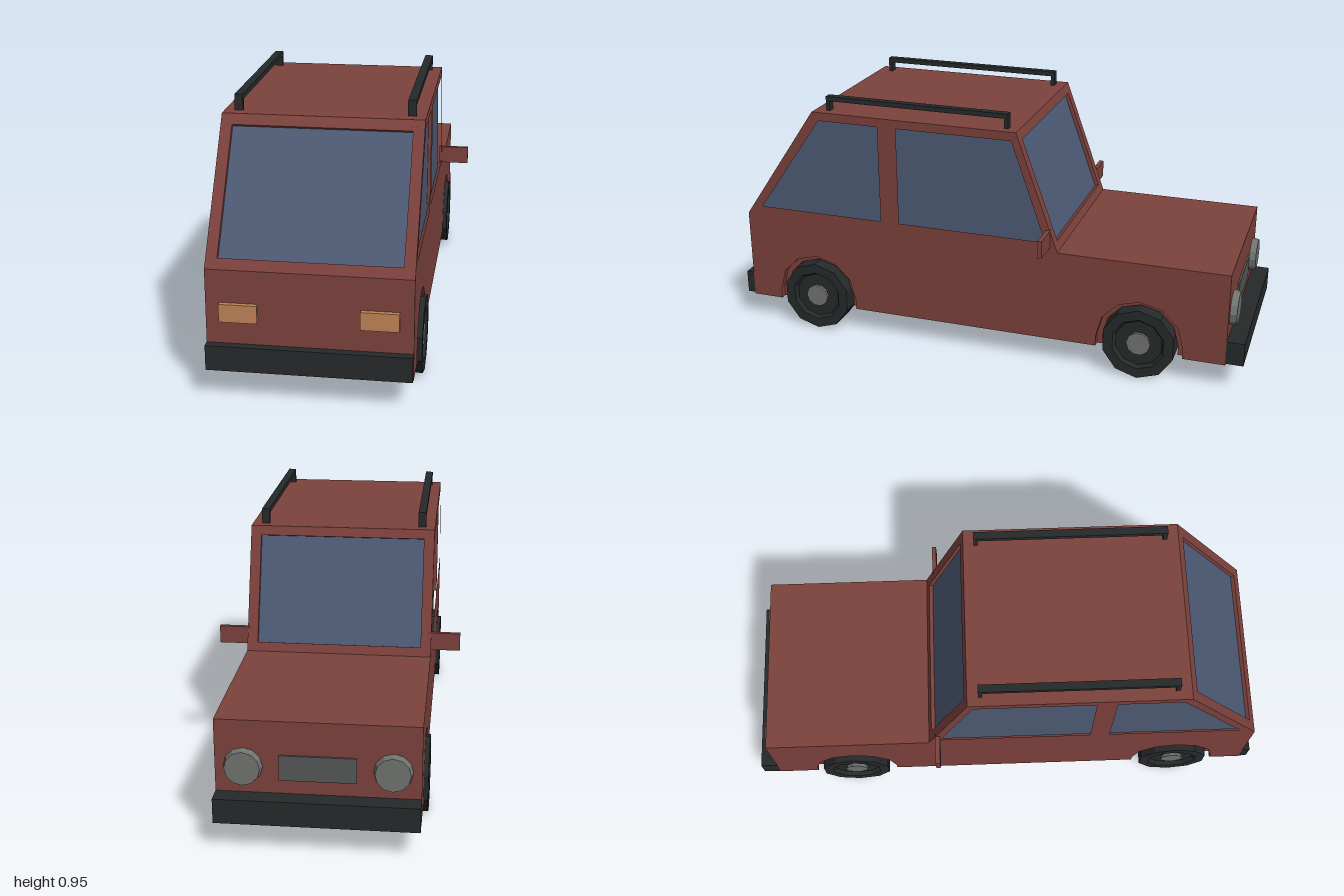
import * as THREE from 'three';

const mat = (color) => new THREE.MeshStandardMaterial({ color, flatShading: true });

export function createModel() {
  const car = new THREE.Group();
  const paint = mat(0x7c413c), glass = mat(0x4d5a74), black = mat(0x26292a);
  const amber = mat(0xbe8355), grey = mat(0x707270), darkGrey = mat(0x555756);

  const add = (name, geometry, material, x = 0, y = 0, z = 0) => {
    const mesh = new THREE.Mesh(geometry, material);
    mesh.name = name;
    mesh.position.set(x, y, z);
    car.add(mesh);
    return mesh;
  };
  // box given by its ranges on each axis
  const box = (name, material, [x0, x1], [y0, y1], [z0, z1]) =>
    add(name, new THREE.BoxGeometry(x1 - x0, y1 - y0, z1 - z0), material,
      (x0 + x1) / 2, (y0 + y1) / 2, (z0 + z1) / 2);

  // side profiles are [z, y] points, extruded across the car from x0 to x1
  const vecs = (pts) => pts.map(([z, y]) => new THREE.Vector2(-z, y));
  const profile = (name, material, pts, x0, x1, holes = []) => {
    const shape = new THREE.Shape(vecs(pts));
    holes.forEach((h) => shape.holes.push(new THREE.Path(vecs(h))));
    const g = new THREE.ExtrudeGeometry(shape, { depth: x1 - x0, bevelEnabled: false });
    g.rotateY(Math.PI / 2);
    return add(name, g, material, x0);
  };

  const wheelZ = [-0.615, 0.685], wheelY = 0.14, sill = 0.1;

  // bottom edge running from the hood end to the tail, with faceted wheel arches
  const archEdge = (r) => {
    const pts = [[-0.935, sill]];
    for (const z of wheelZ) {
      pts.push([z - r, sill]);
      for (let i = 0; i <= 6; i++) {
        const a = Math.PI * (1 - i / 6);
        pts.push([z + r * Math.cos(a), wheelY + r * Math.sin(a)]);
      }
      pts.push([z + r, sill]);
    }
    pts.push([0.97, sill]);
    return pts;
  };

  // lower body with wheel wells, closed in the middle by the floor block
  profile('lowerBody', paint,
    [...archEdge(0.142), [0.97, 0.455], [-0.935, 0.455]], -0.32, 0.32);
  box('floor', paint, [-0.2, 0.2], [0.101, 0.45], [-0.93, 0.965]);

  // side panels with window openings
  const outline = [...archEdge(0.163), [0.97, 0.455], [0.665, 0.9],
    [-0.14, 0.9], [-0.3, 0.455], [-0.935, 0.455]];
  const windows = [
    [[0.905, 0.49], [0.64, 0.867], [0.4, 0.867], [0.4, 0.49]],
    [[0.325, 0.49], [0.325, 0.867], [-0.122, 0.867], [-0.253, 0.49]],
  ];
  profile('leftSidePanel', paint, outline, 0.32, 0.345, windows);
  profile('rightSidePanel', paint, outline, -0.345, -0.32, windows);

  // roof and the glass set in behind the frames
  profile('roof', paint,
    [[0.679, 0.88], [0.665, 0.9], [-0.14, 0.9], [-0.147, 0.88]], -0.32, 0.32);
  profile('windowGlass', glass,
    [[0.952, 0.455], [0.654, 0.89], [-0.128, 0.89], [-0.284, 0.455]], -0.33, 0.33);

  // sloping window frames at both ends of the cabin
  const windowFrame = (name, z0, z1, side) => {
    const y0 = 0.455, y1 = 0.9, len = Math.hypot(z1 - z0, y1 - y0);
    const s = (y) => ((y - y0) / (y1 - y0)) * len;
    const rect = (w, b, t) => [[-w, b], [w, b], [w, t], [-w, t]].map((p) => new THREE.Vector2(...p));
    const shape = new THREE.Shape(rect(0.32, 0, len));
    shape.holes.push(new THREE.Path(rect(0.306, s(0.487), s(0.867))));
    const g = new THREE.ExtrudeGeometry(shape, { depth: 0.02, bevelEnabled: false });
    g.translate(0, 0, -0.02);
    const across = new THREE.Vector3(side, 0, 0);
    const up = new THREE.Vector3(0, (y1 - y0) / len, (z1 - z0) / len);
    g.applyMatrix4(new THREE.Matrix4().makeBasis(across, up, across.clone().cross(up)));
    add(name, g, paint, 0, y0, z0);
  };
  windowFrame('tailWindowFrame', 0.97, 0.665, 1);
  windowFrame('windshieldFrame', -0.3, -0.14, -1);

  // bumpers and grille
  box('tailBumper', black, [-0.345, 0.345], [0.107, 0.195], [0.96, 1]);
  box('hoodBumper', black, [-0.345, 0.345], [0.107, 0.195], [-1, -0.934]);
  box('grille', darkGrey, [-0.13, 0.13], [0.245, 0.335], [-0.942, -0.92]);

  // wheel cross-section (radius, width): tyre, recessed rim
  const tyre = [[0, 0], [0.1, 0], [0.138, 0], [0.138, 0.11], [0.1, 0.11], [0.09, 0.095], [0, 0.095]]
    .map((p) => new THREE.Vector2(...p));

  for (const side of [1, -1]) {
    const name = side > 0 ? 'left' : 'right';
    const span = (a, b) => (side > 0 ? [a, b] : [-b, -a]);

    box(name + 'TailLight', amber, span(0.17, 0.298), [0.277, 0.34], [0.96, 0.987]);
    const lamp = new THREE.CylinderGeometry(0.06, 0.07, 0.04, 12);
    lamp.rotateX(-Math.PI / 2);
    add(name + 'Headlight', lamp, grey, side * 0.25, 0.29, -0.94);

    // roof rail on two posts
    box(name + 'RoofRail', black, span(0.282, 0.311), [0.937, 0.955], [-0.1, 0.62]);
    for (const z of [-0.1, 0.605])
      box(name + 'RailPost', black, span(0.282, 0.311), [0.89, 0.94], [z, z + 0.015]);

    box(name + 'Mirror', paint, span(0.335, 0.452), [0.474, 0.54], [-0.272, -0.256]);

    for (const z of wheelZ) {
      const wheel = new THREE.Group();
      wheel.name = name + (z < 0 ? 'HoodWheel' : 'TailWheel');
      const tyreGeo = new THREE.LatheGeometry(tyre, 10, Math.PI / 2);
      const hubGeo = new THREE.CylinderGeometry(0.045, 0.045, 0.02, 10);
      hubGeo.translate(0, 0.096, 0);
      for (const [part, g, m] of [['tyre', tyreGeo, black], ['hub', hubGeo, grey]]) {
        const mesh = new THREE.Mesh(g.rotateZ(-Math.PI / 2), m);
        mesh.name = part;
        wheel.add(mesh);
      }
      wheel.rotation.y = side > 0 ? 0 : Math.PI;
      wheel.position.set(side * 0.25, 0.138, z);
      car.add(wheel);
    }
  }
  // reflecting face of the right mirror
  box('mirrorGlass', glass, [-0.451, -0.345], [0.475, 0.539], [-0.258, -0.254]);

  return car;
}
